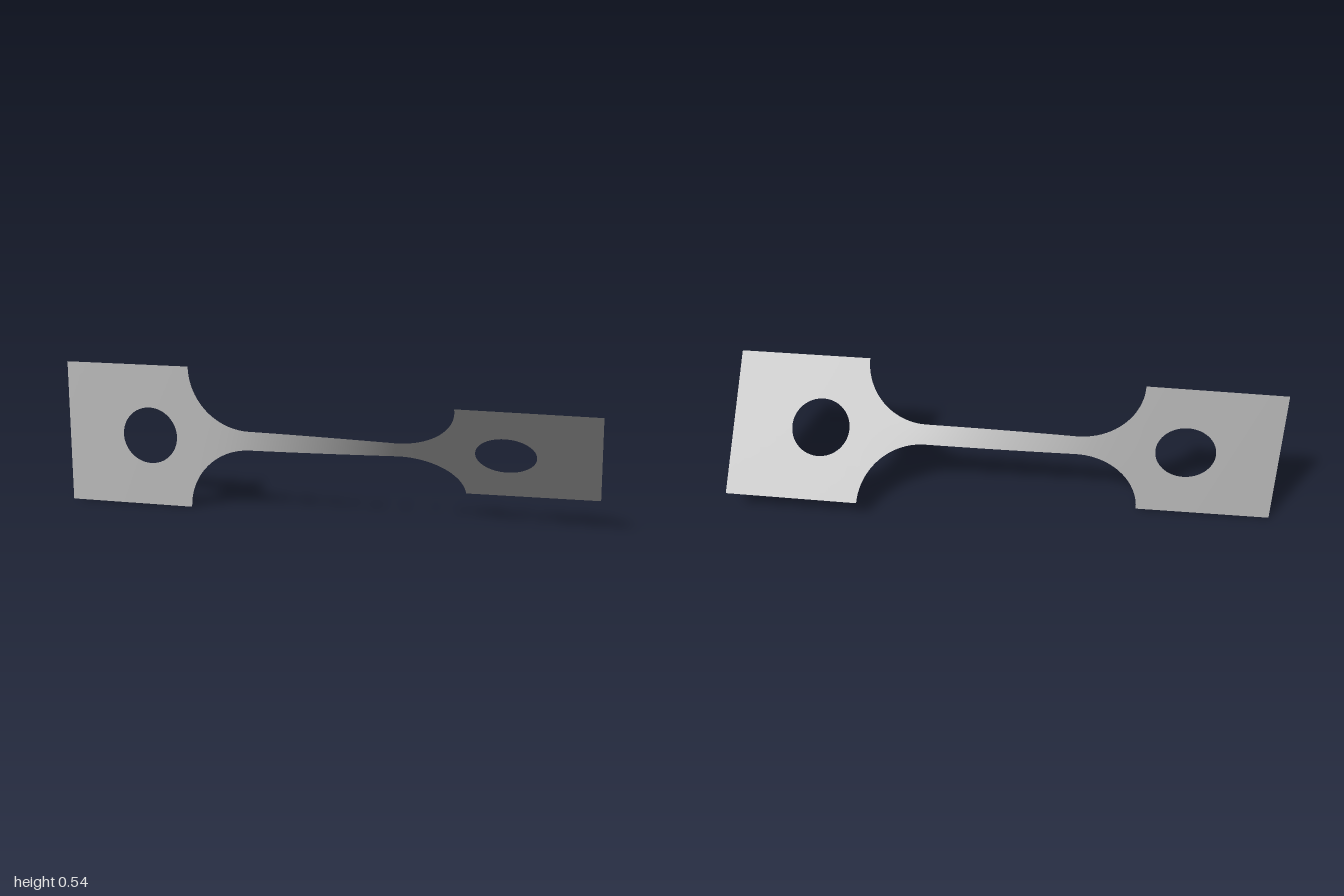
import * as THREE from 'three';

const CENTRE_Y = 0.271;          // height of the twist axis
const TAB_HALF = 0.271;          // half width of the end tabs
const NECK_HALF = 0.037;         // half width of the neck
const TAB_X = 0.51;              // where the tabs begin
const FILLET = TAB_HALF - NECK_HALF;
const FILLET_X = TAB_X - FILLET; // where the fillets begin
const HOLE_X = 0.67;
const HOLE_R = 0.108;
const HALF_TWIST = Math.PI / 8;  // 45 degrees from end to end

// Half width of the strip: straight neck, round fillet, square tab
function halfWidth(x) {
  const d = Math.abs(x) - FILLET_X;
  if (d <= 0) return NECK_HALF;
  if (d >= FILLET - 1e-9) return TAB_HALF;
  return TAB_HALF - Math.sqrt(FILLET * FILLET - d * d);
}

// Half height of the round hole at x
function holeHalf(x) {
  const d = Math.abs(x) - HOLE_X;
  return Math.sqrt(Math.max(0, HOLE_R * HOLE_R - d * d));
}

// Narrow sections twist more: add up the twist rate along the strip
const STEPS = 1000;
const rate = (x) => Math.pow(halfWidth(x) / NECK_HALF, -1.6);
const sums = [0];
for (let i = 0; i < STEPS; i++) sums.push(sums[i] + rate((i + 0.5) / STEPS) / STEPS);
const SCALE = HALF_TWIST / sums[STEPS];

function twist(x) {
  const t = Math.min(Math.abs(x), 1) * STEPS;
  const i = Math.min(Math.floor(t), STEPS - 1);
  const sum = sums[i] + (sums[i + 1] - sums[i]) * (t - i);
  return HALF_TWIST + Math.sign(x) * sum * SCALE;
}

// Twisted surface between an inner and an outer edge, on both sides of the axis
function twistedStrip(xs, inner, outer, rows) {
  const positions = [], normals = [], index = [];
  for (const side of [-1, 1]) {
    const base = positions.length / 3;
    for (const x of xs) {
      const a = twist(x), sin = Math.sin(a), cos = Math.cos(a);
      const from = side > 0 ? inner(x) : -outer(x);
      const to = side > 0 ? outer(x) : -inner(x);
      for (let j = 0; j <= rows; j++) {
        const v = from + (to - from) * j / rows;
        positions.push(x, CENTRE_Y + v * cos, v * sin);
        const n = new THREE.Vector3(-v * rate(x) * SCALE, -sin, cos).normalize();
        normals.push(n.x, n.y, n.z);
      }
    }
    for (let i = 0; i < xs.length - 1; i++) {
      for (let j = 0; j < rows; j++) {
        const a = base + i * (rows + 1) + j, b = a + rows + 1;
        index.push(a, b, b + 1, a, b + 1, a + 1);
      }
    }
  }
  const geometry = new THREE.BufferGeometry();
  geometry.setAttribute('position', new THREE.Float32BufferAttribute(positions, 3));
  geometry.setAttribute('normal', new THREE.Float32BufferAttribute(normals, 3));
  geometry.setIndex(index);
  return geometry;
}

// n + 1 samples of a function over 0..1
const samples = (n, f) => Array.from({ length: n + 1 }, (_, i) => f(i / n));
const mirrored = (xs) => xs.map((x) => -x).reverse();

export function createModel() {
  const group = new THREE.Group();
  const metal = new THREE.MeshStandardMaterial({ color: 0xbcbcbc, side: THREE.DoubleSide });

  const add = (name, geometry) => {
    const mesh = new THREE.Mesh(geometry, metal);
    mesh.name = name;
    group.add(mesh);
  };

  // End tabs, sampled closely around the holes
  const tabXs = [
    TAB_X,
    ...samples(32, (t) => HOLE_X - HOLE_R * Math.cos(Math.PI * t)),
    ...samples(4, (t) => HOLE_X + HOLE_R + (1 - HOLE_X - HOLE_R) * t).slice(1),
  ];
  add('leftTab', twistedStrip(tabXs, holeHalf, halfWidth, 6));
  add('rightTab', twistedStrip(mirrored(tabXs), holeHalf, halfWidth, 6));

  // Neck with its filleted shoulders
  const filletXs = samples(20, (t) => FILLET_X + FILLET * Math.sin(t * Math.PI / 2));
  const neckXs = samples(24, (t) => FILLET_X * (2 * t - 1)).slice(1, -1);
  add('neck', twistedStrip([...mirrored(filletXs), ...neckXs, ...filletXs], () => 0, halfWidth, 6));

  return group;
}
